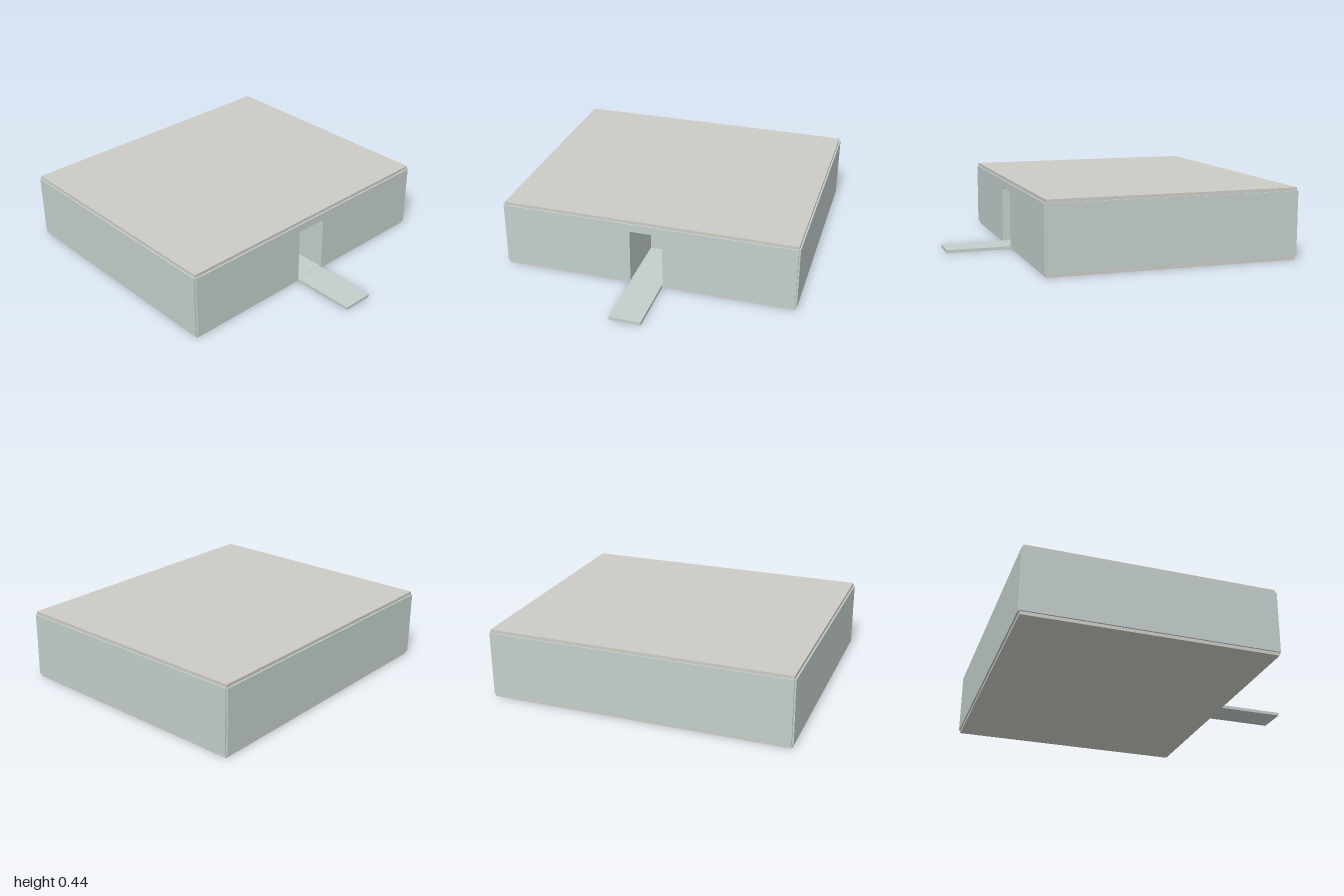
import * as THREE from 'three';

const wallMat = new THREE.MeshStandardMaterial({ color: 0xc3cecb });
const slabMat = new THREE.MeshStandardMaterial({ color: 0xcccbc5 });

// Outer shell: wall centre lines, slab thickness and doorway
const X = 0.94, Z0 = -0.99, Z1 = 0.58, T = 0.02, TOP = 0.445;
const DOOR_W = 0.105, DOOR_TOP = 0.375, PASSAGE_END = 0.18;

// Box given by its lower and upper corners
function box(name, mat, [x0, y0, z0], [x1, y1, z1]) {
  const g = new THREE.BoxGeometry(x1 - x0, y1 - y0, z1 - z0);
  const m = new THREE.Mesh(g, mat);
  m.name = name;
  m.position.set((x0 + x1) / 2, (y0 + y1) / 2, (z0 + z1) / 2);
  return m;
}

export function createModel() {
  const model = new THREE.Group();
  model.name = 'building';
  const wallTop = TOP - T;

  // Floor and flat roof, slightly inside the wall faces
  model.add(box('floor', slabMat, [-X, 0, Z0], [X, T, Z1]));
  model.add(box('roof', slabMat, [-X, wallTop, Z0], [X, TOP, Z1]));

  // Plain wall panels, centred on the slab edges so the corners stay notched
  model.add(box('backWall', wallMat, [-X, T, Z0 - T / 2], [X, wallTop, Z0 + T / 2]));
  for (const [name, s] of [['leftWall', 1], ['rightWall', -1]]) {
    const c = s * X;
    model.add(box(name, wallMat, [c - T / 2, T, Z0], [c + T / 2, wallTop, Z1]));
  }

  // Front wall with the doorway cut out
  const c = 0.008;
  const front = new THREE.Shape([
    [-X, T], [-DOOR_W, T], [-DOOR_W, DOOR_TOP - c], [-DOOR_W + c, DOOR_TOP],
    [DOOR_W - c, DOOR_TOP], [DOOR_W, DOOR_TOP - c], [DOOR_W, T],
    [X, T], [X, wallTop], [-X, wallTop],
  ].map(([x, y]) => new THREE.Vector2(x, y)));
  const frontWall = new THREE.Mesh(
    new THREE.ExtrudeGeometry(front, { depth: T, bevelEnabled: false }), wallMat);
  frontWall.name = 'frontWall';
  frontWall.position.z = Z1 - T / 2;
  model.add(frontWall);

  // Entrance passage behind the doorway
  const passage = new THREE.Group();
  passage.name = 'passage';
  for (const s of [-1, 1]) {
    const a = s * DOOR_W, b = s * (DOOR_W + T);
    passage.add(box('passageWall', wallMat,
      [Math.min(a, b), T, PASSAGE_END], [Math.max(a, b), wallTop, Z1 - T / 2]));
  }
  passage.add(box('passageCeiling', wallMat,
    [-DOOR_W, DOOR_TOP, PASSAGE_END], [DOOR_W, DOOR_TOP + T, Z1 - T / 2]));
  passage.add(box('passageEnd', wallMat,
    [-DOOR_W - T, T, PASSAGE_END - T], [DOOR_W + T, wallTop, PASSAGE_END]));
  passage.add(box('passageFloor', wallMat,
    [-DOOR_W, T, PASSAGE_END], [DOOR_W, T + 0.002, Z1]));
  model.add(passage);

  // Entrance path in front of the door
  model.add(box('path', wallMat, [-0.1, 0, Z1], [0.1, T, 1]));

  return model;
}
